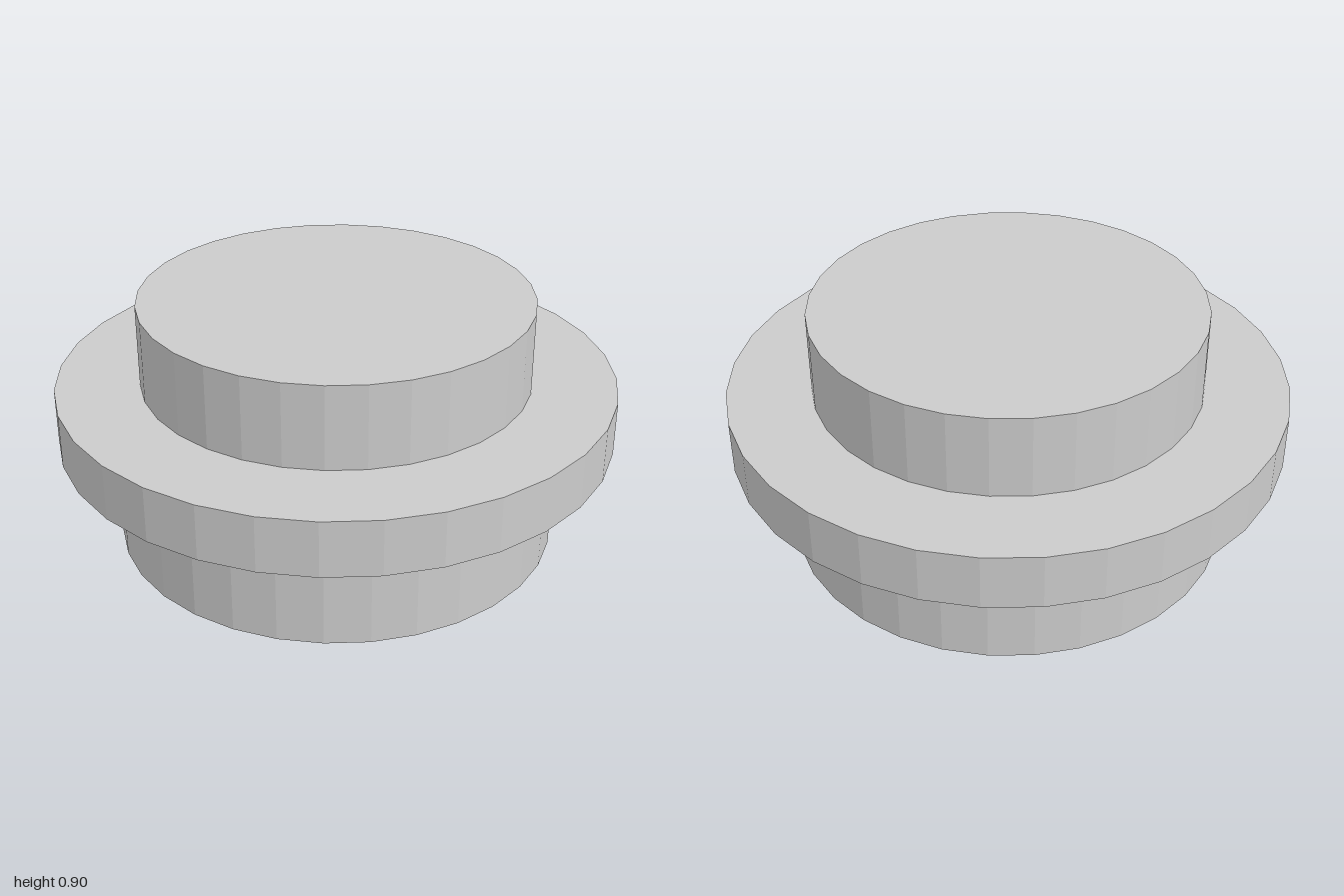
import * as THREE from 'three';

const SIDES = 32;
const material = new THREE.MeshStandardMaterial({ color: 0xcccccc, flatShading: true });

// Revolve a [radius, height] profile; outer walls run upwards.
function turned(name, profile) {
  const points = profile.map(([r, y]) => new THREE.Vector2(r, y));
  const mesh = new THREE.Mesh(new THREE.LatheGeometry(points, SIDES), material);
  mesh.name = name;
  return mesh;
}

export function createModel() {
  const group = new THREE.Group();
  group.name = 'flangedPlug';
  group.add(
    // Round recess open at the underside
    turned('recess', [[0, 0.25], [0.6, 0.25], [0.6, 0]]),
    // Lower collar: bottom rim and outer wall
    turned('lowerCollar', [[0.6, 0], [0.8, 0], [0.8, 0.4]]),
    // Wide middle flange
    turned('flange', [[0.8, 0.4], [1, 0.4], [1, 0.6], [0.7, 0.6]]),
    // Upper stud with closed top
    turned('upperStud', [[0.7, 0.6], [0.7, 0.9], [0, 0.9]])
  );
  return group;
}
